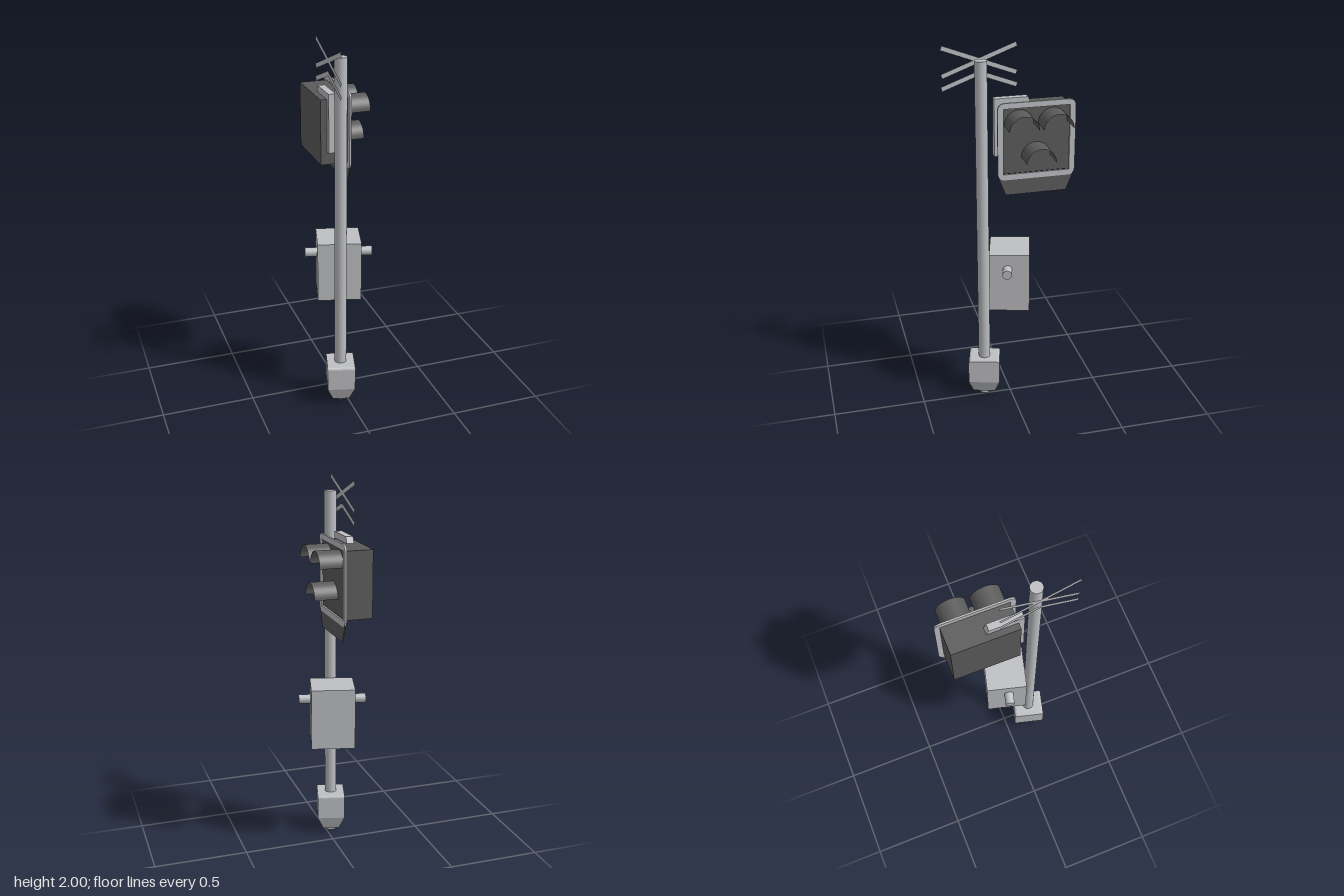
import * as THREE from 'three';

export function createModel() {
  const model = new THREE.Group();
  model.name = 'crossingSignal';

  const grey = new THREE.MeshStandardMaterial({ color: 0xbebfc3 });
  grey.name = 'galvanised grey';
  const dark = new THREE.MeshStandardMaterial({ color: 0x5b5b5b });
  dark.name = 'dark grey';
  grey.side = dark.side = THREE.DoubleSide;

  const add = (name, geometry, material, x = 0, y = 0, z = 0, parent = model) => {
    const mesh = new THREE.Mesh(geometry, material);
    mesh.name = name;
    mesh.position.set(x, y, z);
    parent.add(mesh);
    return mesh;
  };

  // Shape drawn as (z, y) points, mirrored into the side plane
  const sideShape = (pts) => new THREE.Shape(pts.map(([z, y]) => new THREE.Vector2(-z, y)));
  const addSidePlate = (name, shape, material, x, depth, parent) => {
    const geo = depth
      ? new THREE.ExtrudeGeometry(shape, { depth, bevelEnabled: false, curveSegments: 6 })
      : new THREE.ShapeGeometry(shape);
    geo.rotateY(Math.PI / 2);
    return add(name, geo, material, x, 0, 0, parent);
  };

  // Flat-sided loft through centred rectangles [y, width, depth]
  const loft = (sections) => {
    const pos = [], idx = [];
    for (const [y, w, d] of sections)
      for (const [sx, sz] of [[-1, -1], [-1, 1], [1, 1], [1, -1]]) pos.push(sx * w / 2, y, sz * d / 2);
    const last = (sections.length - 1) * 4;
    for (let i = 0; i < last; i += 4)
      for (let k = 0; k < 4; k++) {
        const a = i + k, b = i + (k + 1) % 4;
        idx.push(a, b, b + 4, a, b + 4, a + 4);
      }
    idx.push(0, 2, 1, 0, 3, 2, last, last + 1, last + 2, last, last + 2, last + 3);
    let geo = new THREE.BufferGeometry();
    geo.setAttribute('position', new THREE.Float32BufferAttribute(pos, 3));
    geo.setIndex(idx);
    geo = geo.toNonIndexed();
    geo.computeVertexNormals();
    return geo;
  };

  // Pole
  const px = -0.032, pz = 0.142, turn = -Math.PI / 12;
  add('pole', new THREE.CylinderGeometry(0.032, 0.032, 1.93, 24), grey, px, 0.965, pz);

  // Tapered footing with rounded front and back top edges
  const footing = [[0.025, 0.089, 0.121], [0.1, 0.15, 0.172]];
  for (let i = 0; i <= 4; i++) {
    const a = i / 4 * Math.PI / 2;
    footing.push([0.22 + 0.015 * Math.sin(a), 0.15, 0.142 + 0.03 * Math.cos(a)]);
  }
  add('footing', loft(footing), grey, px, 0, pz).rotation.y = turn;

  // Equipment cabinet with a stub on each side
  const cabinet = new THREE.Group();
  cabinet.name = 'cabinet';
  cabinet.position.set(0.003, 0.755, 0.0035);
  cabinet.rotation.y = turn;
  model.add(cabinet);
  add('cabinetBox', new THREE.BoxGeometry(0.2325, 0.33, 0.214), grey, 0, 0, 0, cabinet);
  for (const s of [-1, 1]) {
    const stub = new THREE.CylinderGeometry(0.025, 0.025, 0.08, 20).rotateZ(Math.PI / 2);
    add('cabinetStub', stub, grey, s * 0.14, 0.08, 0.01, cabinet);
  }

  // Signal head
  const signal = new THREE.Group();
  signal.name = 'signalHead';
  model.add(signal);
  add('signalBox', new THREE.BoxGeometry(0.146, 0.345, 0.35), dark, -0.032, 1.5225, -0.13, signal);

  // Rounded frame around the signal face
  const r = 0.04, z0 = 0.077, z1 = -0.332, y0 = 1.318, y1 = 1.727;
  const frame = new THREE.Shape();
  frame.moveTo(-z0 + r, y0);
  frame.lineTo(-z1 - r, y0).quadraticCurveTo(-z1, y0, -z1, y0 + r);
  frame.lineTo(-z1, y1 - r).quadraticCurveTo(-z1, y1, -z1 - r, y1);
  frame.lineTo(-z0 + r, y1).quadraticCurveTo(-z0, y1, -z0, y1 - r);
  frame.lineTo(-z0, y0 + r).quadraticCurveTo(-z0, y0, -z0 + r, y0);
  frame.holes.push(sideShape([[0.047, 1.348], [-0.302, 1.348], [-0.302, 1.697], [0.047, 1.697]]));
  addSidePlate('signalFrame', frame, grey, 0.039, 0.01, signal);

  // Dark skirt below the frame
  const skirt = sideShape([[0.07, 1.325], [0.035, 1.235], [-0.287, 1.235], [-0.324, 1.325]]);
  addSidePlate('signalSkirt', skirt, dark, 0.041, 0.006, signal);

  // Half-round hoods: two above, one below
  for (const [y, z] of [[1.61, -0.035], [1.61, -0.212], [1.435, -0.125]]) {
    const hood = new THREE.CylinderGeometry(0.077, 0.077, 0.122, 20, 1, true, Math.PI, Math.PI);
    add('lampHood', hood.rotateZ(-Math.PI / 2), dark, 0.102, y, z, signal);
  }

  // Angle bracket over the box top and down its front
  const bracket = sideShape([
    [0.075, 1.42], [0.075, 1.728], [-0.103, 1.728], [-0.117, 1.695], [0.045, 1.695], [0.045, 1.42],
  ]);
  addSidePlate('signalBracket', bracket, grey, -0.072, 0.038, signal);

  // Crossed boards and the chevron below them
  const boards = new THREE.Group();
  boards.name = 'crossBoards';
  boards.position.set(-0.095, 0, 0.135);
  model.add(boards);
  const tilt = 0.36;
  const addBoard = (name, length, y, z, angle) => {
    const geo = new THREE.PlaneGeometry(length, 0.024).rotateZ(angle).rotateY(Math.PI / 2);
    add(name, geo, grey, 0, y, z, boards);
  };
  for (const s of [-1, 1]) {
    addBoard('crossBoard', 0.412, 1.915, 0, s * tilt);
    addBoard('chevronBoard', 0.208, 1.814, s * 0.097, s * tilt);
  }

  return model;
}
